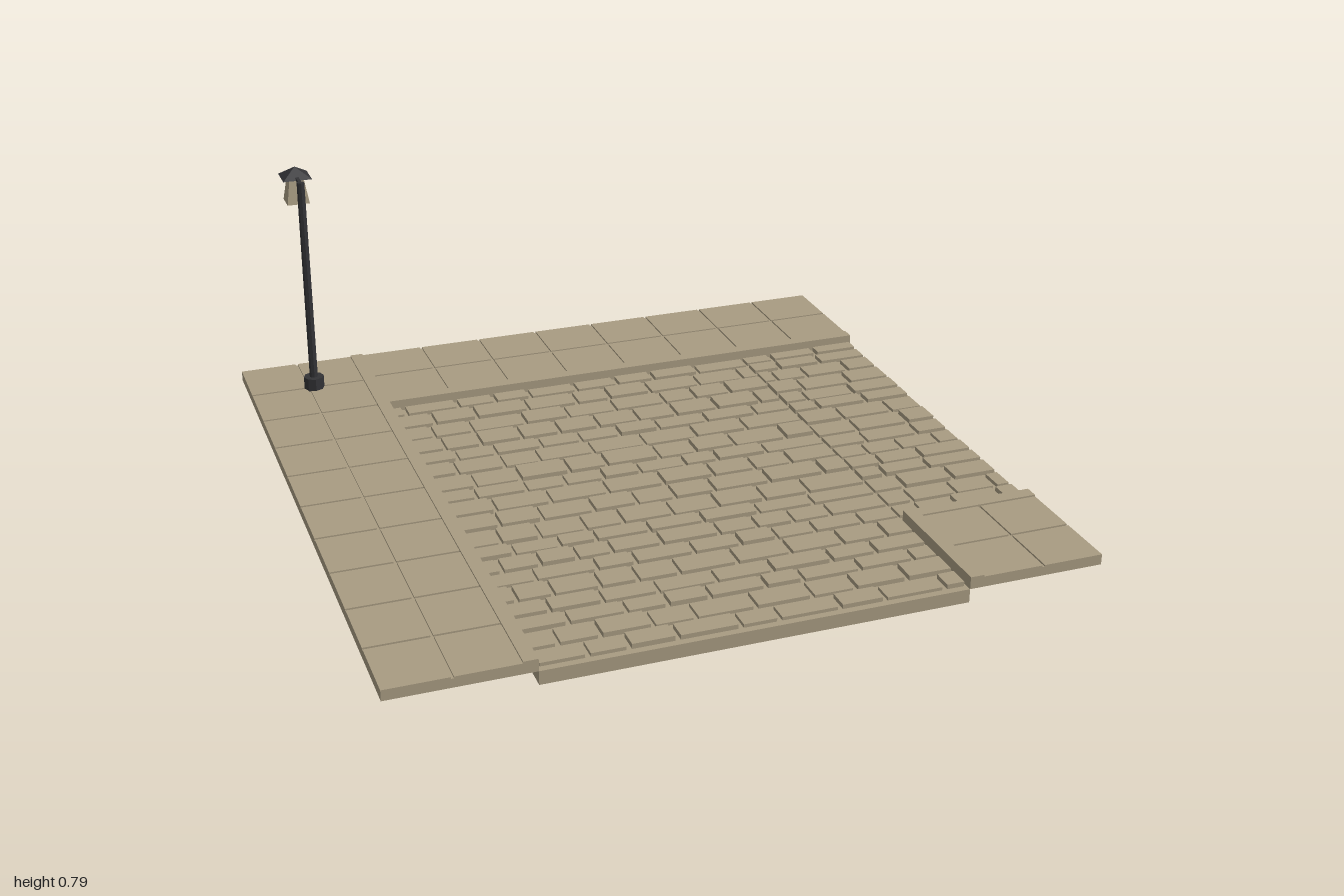
import * as THREE from 'three';
import { mergeGeometries } from 'three/addons/utils/BufferGeometryUtils.js';

const stone = new THREE.MeshStandardMaterial({ color: 0xa89b82 });
stone.name = 'warmStone';
const iron = new THREE.MeshStandardMaterial({ color: 0x333336 });
iron.name = 'darkIron';

let seed = 7;
const random = () => {
  seed = (seed * 16807) % 2147483647;
  return seed / 2147483647;
};

// Box given by its limits on each axis
function span(x0, x1, y0, y1, z0, z1) {
  return new THREE.BoxGeometry(x1 - x0, y1 - y0, z1 - z0)
    .translate((x0 + x1) / 2, (y0 + y1) / 2, (z0 + z1) / 2);
}

function add(group, name, geometry, material) {
  const mesh = new THREE.Mesh(geometry, material);
  mesh.name = name;
  group.add(mesh);
  return mesh;
}

const GAP = 0.015;
const ROAD = 0.04;

// Rows of cobbles; each row has its own depth and random stone lengths
function cobbles(x0, x1, z0, z1, depths, frontJoints) {
  const parts = [];
  let z = z0 + 0.005;
  const scale = (z1 - z0 - 0.01) / depths.reduce((a, b) => a + b + GAP, 0);
  depths.forEach((depth, row) => {
    const zEnd = z + depth * scale;
    let joints = [x0];
    if (frontJoints && row === depths.length - 1) joints = frontJoints;
    else {
      let x = x0 + 0.04 + random() * 0.1;
      while (x < x1 - 0.05) {
        joints.push(x);
        x += 0.1 + random() * 0.075;
      }
      joints.push(x1);
    }
    for (let i = 0; i < joints.length - 1; i++) {
      const top = 0.049 + random() * 0.006;
      parts.push(span(joints[i] + GAP / 2, joints[i + 1] - GAP / 2, ROAD - 0.002, top, z, zEnd));
    }
    z = zEnd + GAP * scale;
  });
  return mergeGeometries(parts);
}

// Grid of paving tiles with narrow joints
function tiles(x0, x1, z0, z1, nx, nz) {
  const parts = [];
  const w = (x1 - x0) / nx, d = (z1 - z0) / nz, j = 0.004;
  for (let i = 0; i < nx; i++) {
    for (let k = 0; k < nz; k++) {
      parts.push(span(
        x0 + i * w + (i ? j : 0), x0 + (i + 1) * w - (i < nx - 1 ? j : 0), 0.064, 0.071,
        z0 + k * d + (k ? j : 0), z0 + (k + 1) * d - (k < nz - 1 ? j : 0)));
    }
  }
  return mergeGeometries(parts);
}

function buildLamp() {
  const lamp = new THREE.Group();
  lamp.name = 'streetLamp';
  lamp.position.set(-0.8, 0, -0.8);
  const lanternZ = -0.09;
  const iron8 = (r0, r1, y0, y1) =>
    new THREE.CylinderGeometry(r1, r0, y1 - y0, 8).toNonIndexed().translate(0, (y0 + y1) / 2, 0);
  const square = (halfTop, halfBottom, y0, y1) =>
    new THREE.CylinderGeometry(halfTop * Math.SQRT2, halfBottom * Math.SQRT2, y1 - y0, 4)
      .rotateY(Math.PI / 4).toNonIndexed().translate(0, (y0 + y1) / 2, lanternZ);
  const flat = (g) => { g.computeVertexNormals(); return g; };

  add(lamp, 'lampFoot', flat(iron8(0.032, 0.032, 0.068, 0.11)), iron);
  add(lamp, 'lampPost', flat(iron8(0.013, 0.012, 0.11, 0.763)), iron);
  add(lamp, 'lampArm', span(-0.005, 0.005, 0.752, 0.762, lanternZ, 0), iron);
  add(lamp, 'lanternBody', flat(square(0.022, 0.035, 0.673, 0.754)), stone);
  add(lamp, 'lanternRoof', flat(square(0.0005, 0.045, 0.754, 0.786)), iron);
  return lamp;
}

export function createModel() {
  const model = new THREE.Group();
  model.name = 'streetCorner';

  // Road bed: main road and side branch
  add(model, 'mainRoadBed', span(-0.6, 0.6, 0, ROAD, -0.6, 1), stone);
  add(model, 'sideRoadBed', span(0.6, 1, 0, ROAD, -0.6, 0.6), stone);

  // Cobbles
  const mainRows = [0.053, 0.075, 0.075, 0.08, 0.059, 0.075, 0.08, 0.058, 0.075, 0.075,
    0.08, 0.054, 0.064, 0.059, 0.075, 0.059, 0.054, 0.07, 0.059];
  const frontJoints = [-0.6, -0.465, -0.355, -0.223, -0.05, 0.058, 0.23, 0.36, 0.535, 0.6];
  const sideRows = [0.043, 0.053, 0.07, 0.075, 0.064, 0.053, 0.075, 0.075, 0.064, 0.064,
    0.059, 0.053, 0.07, 0.07, 0.059];
  add(model, 'mainRoadCobbles', cobbles(-0.6, 0.6, -0.6, 1, mainRows, frontJoints), stone);
  add(model, 'sideRoadCobbles', cobbles(0.595, 1, -0.6, 0.6, sideRows), stone);

  // Pavements: slab, tiles and the raised kerb beside the road
  const pavements = [
    { name: 'left', slab: [-1, -0.6, -1, 1], tile: [-1, -0.64, -1, 1, 2, 10], kerbs: [[-0.64, -0.6, -1, 1]] },
    { name: 'back', slab: [-0.6, 1, -1, -0.6], tile: [-0.6, 1, -1, -0.64, 8, 2], kerbs: [[-0.6, 1, -0.64, -0.6]] },
    { name: 'corner', slab: [0.6, 1, 0.6, 1], tile: [0.64, 1, 0.64, 1, 2, 2],
      kerbs: [[0.6, 0.64, 0.6, 1], [0.64, 1, 0.6, 0.64]] },
  ];
  for (const { name, slab, tile, kerbs } of pavements) {
    const [x0, x1, z0, z1] = slab;
    add(model, name + 'PavementSlab', span(x0, x1, ROAD, 0.066, z0, z1), stone);
    add(model, name + 'PavementTiles', tiles(...tile), stone);
    add(model, name + 'Kerb', mergeGeometries(kerbs.map(([a, b, c, d]) => span(a, b, 0.064, 0.076, c, d))), stone);
  }

  model.add(buildLamp());
  return model;
}
